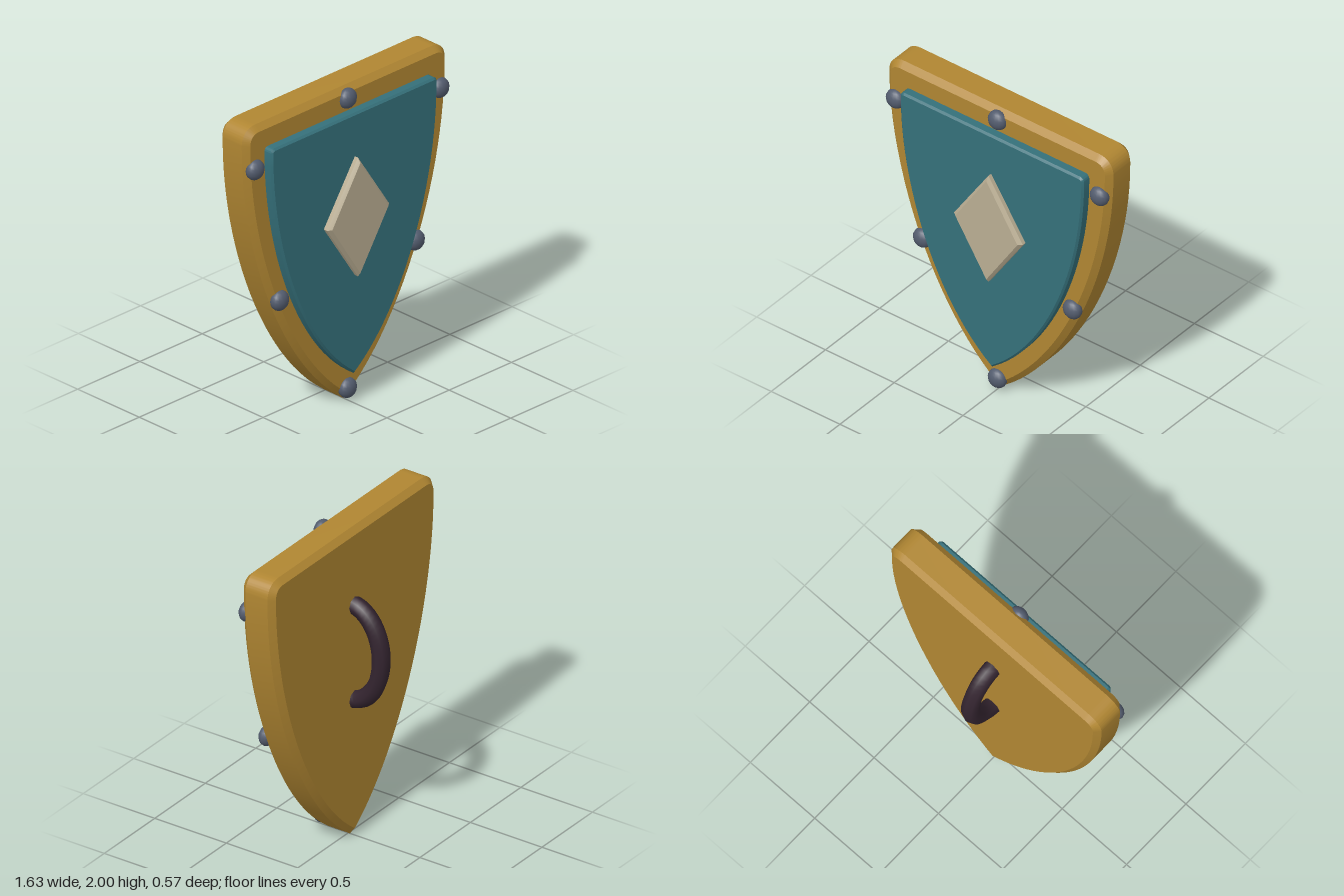
import * as THREE from 'three';
import { toCreasedNormals } from 'three/addons/utils/BufferGeometryUtils.js';

const material = (name, color) => {
  const m = new THREE.MeshStandardMaterial({ color });
  m.name = name;
  return m;
};

// Heater outline: flat top, rounded corners, sides curving to a point
function shieldShape(w, top, tip, r, c1y, c2x, c2y) {
  const s = new THREE.Shape();
  s.moveTo(0, tip);
  s.bezierCurveTo(c2x, c2y, w, c1y, w, top - r);
  s.quadraticCurveTo(w, top, w - r, top);
  s.lineTo(-w + r, top);
  s.quadraticCurveTo(-w, top, -w, top - r);
  s.bezierCurveTo(-w, c1y, -c2x, c2y, 0, tip);
  return s;
}

// Bevelled slab filling z from back to front
function slab(shape, back, front, bevel) {
  const g = new THREE.ExtrudeGeometry(shape, {
    depth: front - back - 2 * bevel, curveSegments: 24,
    bevelEnabled: true, bevelSegments: 1, bevelSize: bevel, bevelThickness: bevel,
  });
  g.translate(0, 0, back + bevel);
  return toCreasedNormals(g, 0.5);
}

export function createModel() {
  const model = new THREE.Group();
  model.name = 'shield';
  const gold = material('gold', 0xb08632);
  const teal = material('teal', 0x35707a);
  const cream = material('cream', 0xb9ad92);
  const steel = material('steel', 0x535c6e);
  const leather = material('dark leather', 0x33242f);

  const add = (name, geometry, mat) => {
    const mesh = new THREE.Mesh(geometry, mat);
    mesh.name = name;
    model.add(mesh);
    return mesh;
  };

  // Body and raised front panel
  add('body', slab(shieldShape(0.78, 1.965, 0.045, 0.075, 1.2, 0.46, 0.39), -0.045, 0.18, 0.035), gold);
  add('panel', slab(shieldShape(0.655, 1.84, 0.205, 0.02, 1.19, 0.4, 0.5), 0.15, 0.24, 0.012), teal);

  // Diamond emblem
  const diamond = new THREE.Shape([[0, -0.352], [0.226, 0], [0, 0.352], [-0.226, 0]]
    .map(([x, y]) => new THREE.Vector2(x, 1.2 + y)));
  add('diamond', slab(diamond, 0.2, 0.285, 0.02), cream);

  // Domed rivets around the rim
  const dome = new THREE.SphereGeometry(0.0625, 14, 10);
  dome.scale(1, 1, 0.75);
  const rivets = [[0, 1.93], [0, 0.08]];
  for (const side of [-1, 1]) rivets.push([side * 0.742, 1.735], [side * 0.545, 0.83]);
  for (const [x, y] of rivets) add('rivet', dome, steel).position.set(x, y, 0.18);

  // Bowed grip on the back, its ends sunk into the body
  const path = [];
  for (let i = 0; i <= 16; i++) {
    const a = (i / 16) * Math.PI;
    path.push(new THREE.Vector3(0, 1.2 + 0.31 * Math.cos(a), -0.02 - 0.21 * Math.sin(a)));
  }
  add('grip', new THREE.TubeGeometry(new THREE.CatmullRomCurve3(path), 28, 0.055, 8), leather);

  return model;
}
